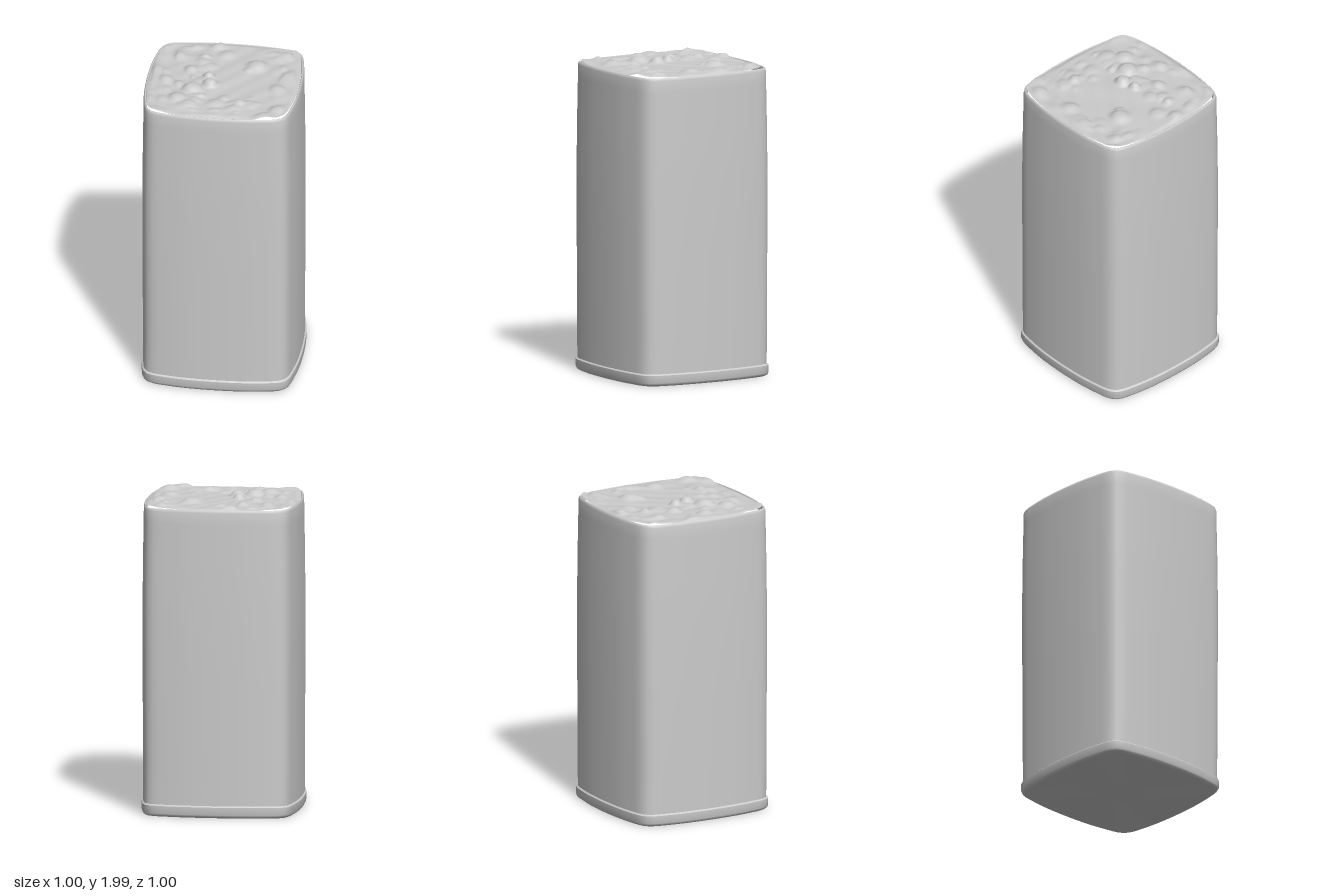
import * as THREE from 'three';
import { mergeVertices, toCreasedNormals } from 'three/addons/utils/BufferGeometryUtils.js';

const material = new THREE.MeshStandardMaterial({ color: 0xcccccc });
const SIDES = 96;

// Bowed square with small rounded corners; mid-edge distance is 0.5
const side = [[0.443, 0.430], [0.462, 0.390], [0.479, 0.300], [0.492, 0.200], [0.498, 0.100], [0.5, 0]];
const quarter = [
  ...side,
  ...side.slice(0, -1).reverse().map(([x, z]) => [x, -z]),
];
const corners = [];
for (let q = 0; q < 4; q++) {
  const c = Math.round(Math.cos(q * Math.PI / 2)), s = Math.round(Math.sin(q * Math.PI / 2));
  for (const [x, z] of quarter) corners.push(new THREE.Vector3(c * x + s * z, 0, -s * x + c * z));
}
const outline = new THREE.CatmullRomCurve3(corners, true).getSpacedPoints(SIDES).slice(0, SIDES);

// Surface through rings, each given as [mid-edge distance, height]; height may be a function of x, z
function loft(rings) {
  const pos = [], index = [];
  for (const [r, y] of rings) {
    for (const p of outline) {
      const x = p.x * r * 2, z = p.z * r * 2;
      pos.push(x, typeof y === 'function' ? y(x, z) : y, z);
    }
  }
  for (let i = 0; i < rings.length - 1; i++) {
    for (let j = 0; j < SIDES; j++) {
      const k = (j + 1) % SIDES, a = i * SIDES + j, b = i * SIDES + k;
      const c = a + SIDES, d = b + SIDES;
      if (rings[i][0] > 0) index.push(a, b, d);
      if (rings[i + 1][0] > 0) index.push(a, d, c);
    }
  }
  const g = new THREE.BufferGeometry();
  g.setAttribute('position', new THREE.Float32BufferAttribute(pos, 3));
  g.setIndex(index);
  return mergeVertices(g, 1e-5);
}

// The outline runs clockwise or not depending on its corners: make it anticlockwise seen from above
const area = outline.reduce((sum, p, i) => {
  const n = outline[(i + 1) % SIDES];
  return sum + p.z * n.x - n.z * p.x;
}, 0);
if (area < 0) outline.reverse();

function seeded(seed) {
  return () => (seed = (seed * 16807) % 2147483647) / 2147483647;
}

// Clods of soil: x, z, radius, height
const clods = [
  [-0.18, 0.13, 0.06, 0.036], [-0.08, 0.06, 0.045, 0.04], [-0.10, -0.03, 0.035, 0.034],
  [0.18, -0.20, 0.06, 0.026], [0.14, -0.15, 0.03, 0.015], [-0.31, -0.27, 0.035, 0.024],
  [-0.15, -0.28, 0.03, 0.024], [-0.22, -0.11, 0.04, 0.024], [-0.36, 0.03, 0.04, 0.022],
  [0.13, 0.28, 0.035, 0.024], [-0.26, 0.25, 0.05, 0.024], [-0.18, 0.33, 0.05, 0.022],
  [0.38, 0.33, 0.05, 0.022], [0.35, 0.08, 0.05, 0.022], [0.39, -0.10, 0.04, 0.02],
  [0.35, -0.35, 0.04, 0.02], [-0.09, -0.42, 0.04, 0.02], [-0.27, 0.08, 0.035, 0.02],
];
const rand = seeded(41);
while (clods.length < 85) {
  const x = rand() * 0.88 - 0.44, z = rand() * 0.88 - 0.44;
  // leave the patch right of the middle almost bare
  if (Math.hypot(x - 0.1, z + 0.02) > 0.23) clods.push([x, z, 0.02 + rand() * 0.03, 0.004 + rand() * 0.012]);
}

function soilHeight(x, z) {
  let y = 1.946 + 0.003 * Math.sin(x * 17 + 2) * Math.cos(z * 14) + 0.0015 * Math.sin(x * 41 + z * 33);
  let lump = 0;
  for (const [cx, cz, r, h] of clods) {
    const d = ((x - cx) ** 2 + (z - cz) ** 2) / (r * r);
    if (d < 4) lump = Math.max(lump, h * Math.exp(-d * d));
  }
  y += lump;
  const edge = Math.min(1, (0.475 - Math.max(Math.abs(x), Math.abs(z))) / 0.03);
  return Math.min(2, 1.935 + (y - 1.935) * Math.max(0.2, edge));
}

export function createModel() {
  const group = new THREE.Group();

  // Pot: closed bottom, foot band, gently bowed wall, rounded rim and inner lip
  const pot = new THREE.Mesh(toCreasedNormals(loft([
    [0, 0], [0.485, 0], [0.495, 0.008], [0.5, 0.02], [0.5, 0.068], [0.491, 0.076],
    [0.492, 0.3], [0.494, 0.8], [0.495, 1.3], [0.492, 1.6], [0.488, 1.85],
    [0.487, 1.925], [0.484, 1.938], [0.479, 1.943], [0.474, 1.941], [0.471, 1.932], [0.47, 1.9],
  ]), 0.65), material);
  pot.name = 'pot';
  group.add(pot);

  // Soil: concentric rings raised by the clods
  const rings = [];
  for (let i = 0; i <= 56; i++) rings.push([0.471 * (1 - i / 56), soilHeight]);
  const soilGeometry = loft(rings);
  soilGeometry.computeVertexNormals();
  const soil = new THREE.Mesh(soilGeometry, material);
  soil.name = 'soil';
  group.add(soil);

  return group;
}
